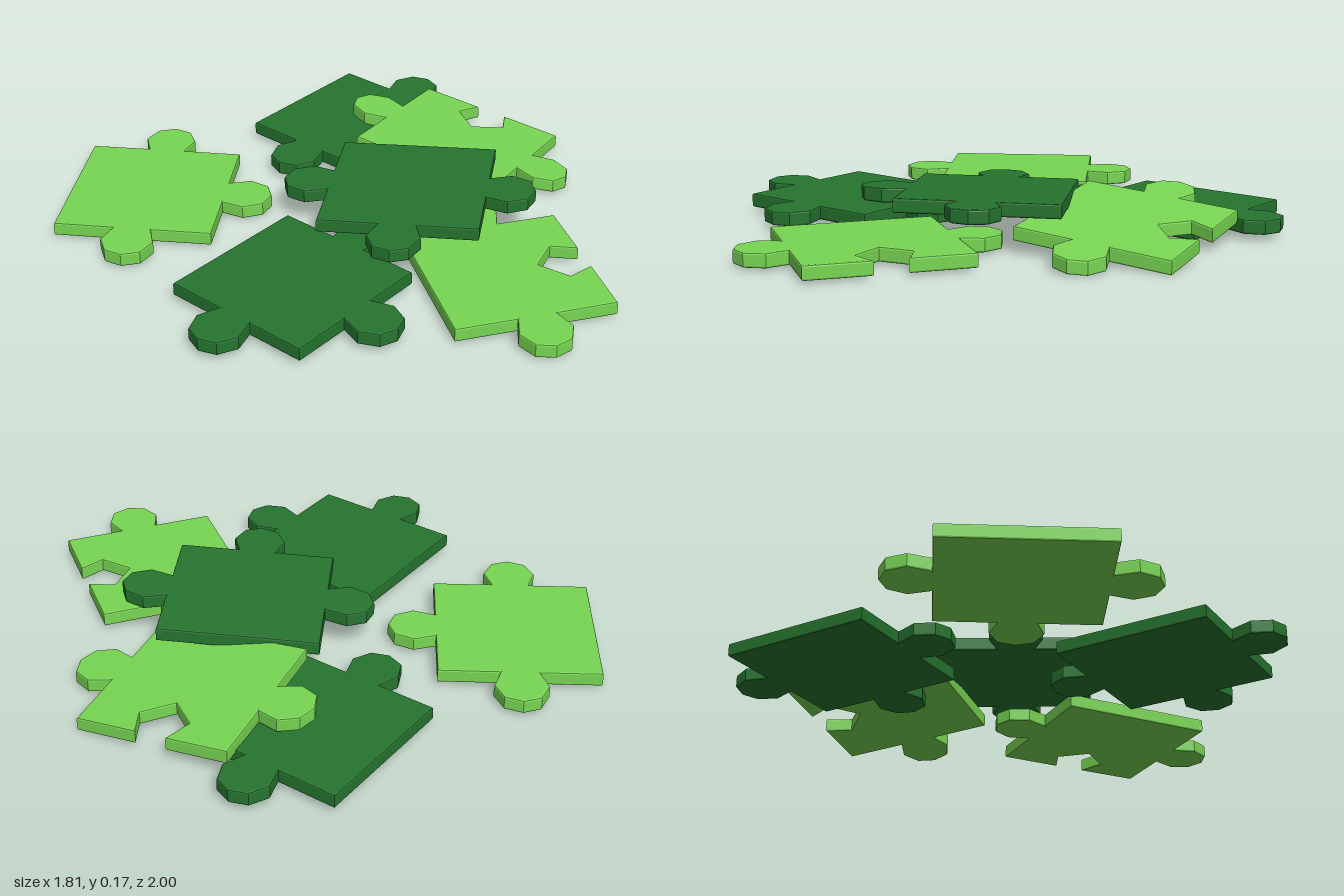
import * as THREE from 'three';

const HALF = 0.27;       // half side of a piece
const THICK = 0.048;
const BEVEL = 0.006;

// Knob profiles as [along edge, outwards]
const KNOB = [[-0.065, 0], [-0.09, 0.075], [-0.06, 0.14], [0, 0.162], [0.06, 0.14], [0.09, 0.075], [0.065, 0]];
const NOTCH = [[-0.054, 0], [-0.09, -0.086], [0, -0.163], [0.09, -0.086], [0.054, 0]];

// Outline: knobs on both sides, a knob or notch in front, flat back
function pieceShape(front) {
  const points = [];
  [KNOB, front, KNOB, []].forEach((profile, k) => {
    const nx = Math.round(Math.cos(k * Math.PI / 2));
    const ny = Math.round(Math.sin(k * Math.PI / 2));
    for (const [a, o] of [[-HALF, 0], ...profile]) {
      const out = HALF + o;
      points.push(new THREE.Vector2(nx * out - ny * a, ny * out + nx * a));
    }
  });
  return new THREE.Shape(points);
}

// Flat tile turned to its heading, then tilted by slopes along x and z
function pieceGeometry(front, turn, slopeX, slopeZ) {
  const geometry = new THREE.ExtrudeGeometry(pieceShape(front), {
    depth: THICK - 2 * BEVEL,
    bevelEnabled: true,
    bevelThickness: BEVEL,
    bevelSize: BEVEL,
    bevelOffset: -BEVEL,
    bevelSegments: 2,
  });
  geometry.translate(0, 0, -(THICK / 2 - BEVEL));
  geometry.rotateX(Math.PI / 2);
  geometry.rotateY(turn);
  const p = geometry.attributes.position;
  for (let i = 0; i < p.count; i++) {
    p.setY(i, p.getY(i) + slopeX * p.getX(i) + slopeZ * p.getZ(i));
  }
  geometry.computeVertexNormals();
  return geometry;
}

export function createModel() {
  const group = new THREE.Group();
  group.name = 'puzzlePieces';
  const light = new THREE.MeshStandardMaterial({ color: 0x78d653 });
  const dark = new THREE.MeshStandardMaterial({ color: 0x26752f });

  const pieces = [
    { name: 'backPiece', material: light, front: KNOB, turn: 0.585, at: [-0.37, 0.037, -0.63] },
    { name: 'backLeftPiece', material: dark, front: KNOB, turn: 0, at: [0.47, 0.049, -0.39] },
    { name: 'rightPiece', material: dark, front: KNOB, turn: 0, at: [-0.475, 0.049, 0.143] },
    { name: 'topPiece', material: dark, front: KNOB, turn: -1.04, at: [0.11, 0.135, 0.145], slope: [0.015, 0.04] },
    { name: 'leaningPiece', material: light, front: NOTCH, turn: 1.737, at: [0.57, 0.076, 0.01], slope: [-0.1, -0.085] },
    { name: 'frontPiece', material: light, front: NOTCH, turn: 0.98, at: [0.022, 0.037, 0.625] },
  ];
  for (const { name, material, front, turn, at, slope = [0, 0] } of pieces) {
    const mesh = new THREE.Mesh(pieceGeometry(front, turn, ...slope), material);
    mesh.name = name;
    mesh.position.set(...at);
    group.add(mesh);
  }
  return group;
}
